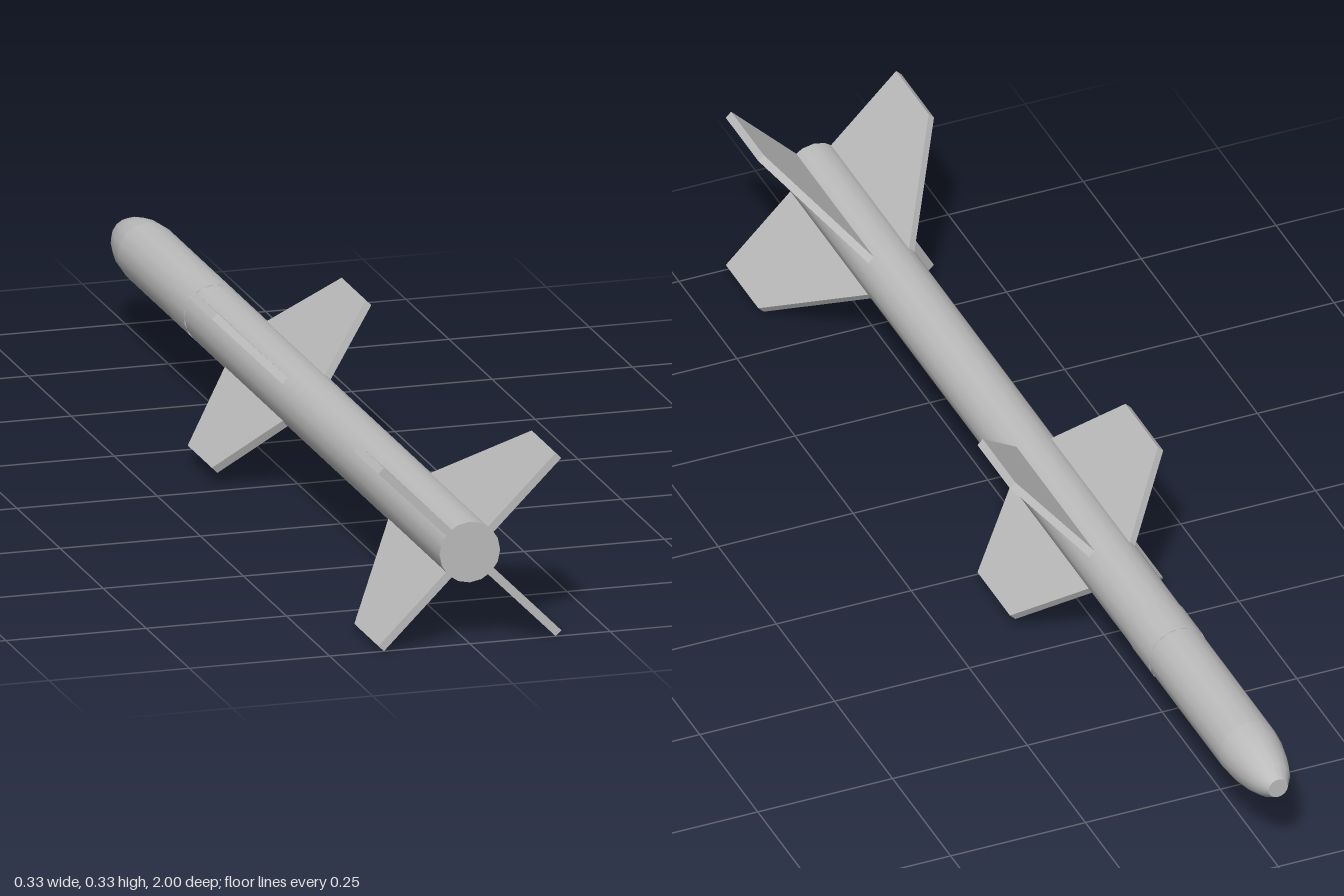
import * as THREE from 'three';

const SIDES = 16;
const RADIUS = 0.054;
const AXIS_HEIGHT = 0.1635;
const FIN_THICKNESS = 0.014;

export function createModel() {
  const model = new THREE.Group();
  model.name = 'missile';
  const grey = new THREE.MeshStandardMaterial({ color: 0xbcbcbc });
  grey.name = 'light grey';

  // Everything is built about the long axis, then lifted to its height
  const airframe = new THREE.Group();
  airframe.name = 'airframe';
  airframe.position.y = AXIS_HEIGHT;
  model.add(airframe);

  const add = (name, geometry) => {
    const mesh = new THREE.Mesh(geometry, grey);
    mesh.name = name;
    airframe.add(mesh);
  };

  // Straight tube between two z positions
  const tube = (radius, zNose, zTail, open = false) =>
    new THREE.CylinderGeometry(radius, radius, zTail - zNose, SIDES, 1, open)
      .rotateX(-Math.PI / 2)
      .translate(0, 0, (zNose + zTail) / 2);

  add('body', tube(RADIUS, -0.87, 1));

  // Slightly raised collar, turned half a side
  add('collar', tube(RADIUS + 0.001, -0.57, -0.48).rotateZ(Math.PI / SIDES));

  // Rounded nose with a blunt tip
  const profile = [
    [RADIUS, 0.87], [0.051, 0.905], [0.043, 0.945], [0.033, 0.975], [0.018, 1],
  ].map(([r, s]) => new THREE.Vector2(r, s));
  add('nose', new THREE.LatheGeometry(profile, SIDES).rotateX(-Math.PI / 2));
  add('noseTip', new THREE.CircleGeometry(0.018, SIDES).rotateY(Math.PI).rotateZ(Math.PI / 2).translate(0, 0, -1));

  // Four flat fins in an X; outline points are [radius, z]
  const addFins = (name, outline) => {
    const shape = new THREE.Shape(outline.map(([r, z]) => new THREE.Vector2(r, -z)));
    for (let i = 0; i < 4; i++) {
      const fin = new THREE.ExtrudeGeometry(shape, { depth: FIN_THICKNESS, bevelEnabled: false })
        .rotateX(-Math.PI / 2)
        .translate(0, -FIN_THICKNESS / 2, 0)
        .rotateZ(Math.PI / 4 + (i * Math.PI) / 2);
      add(name, fin);
    }
  };
  addFins('tailFin', [[0.04, 1], [0.2235, 1], [0.2235, 0.86], [0.04, 0.65]]);
  addFins('midFin', [[0.04, 0.06], [0.194, -0.035], [0.194, -0.175], [0.04, -0.295]]);

  return model;
}
